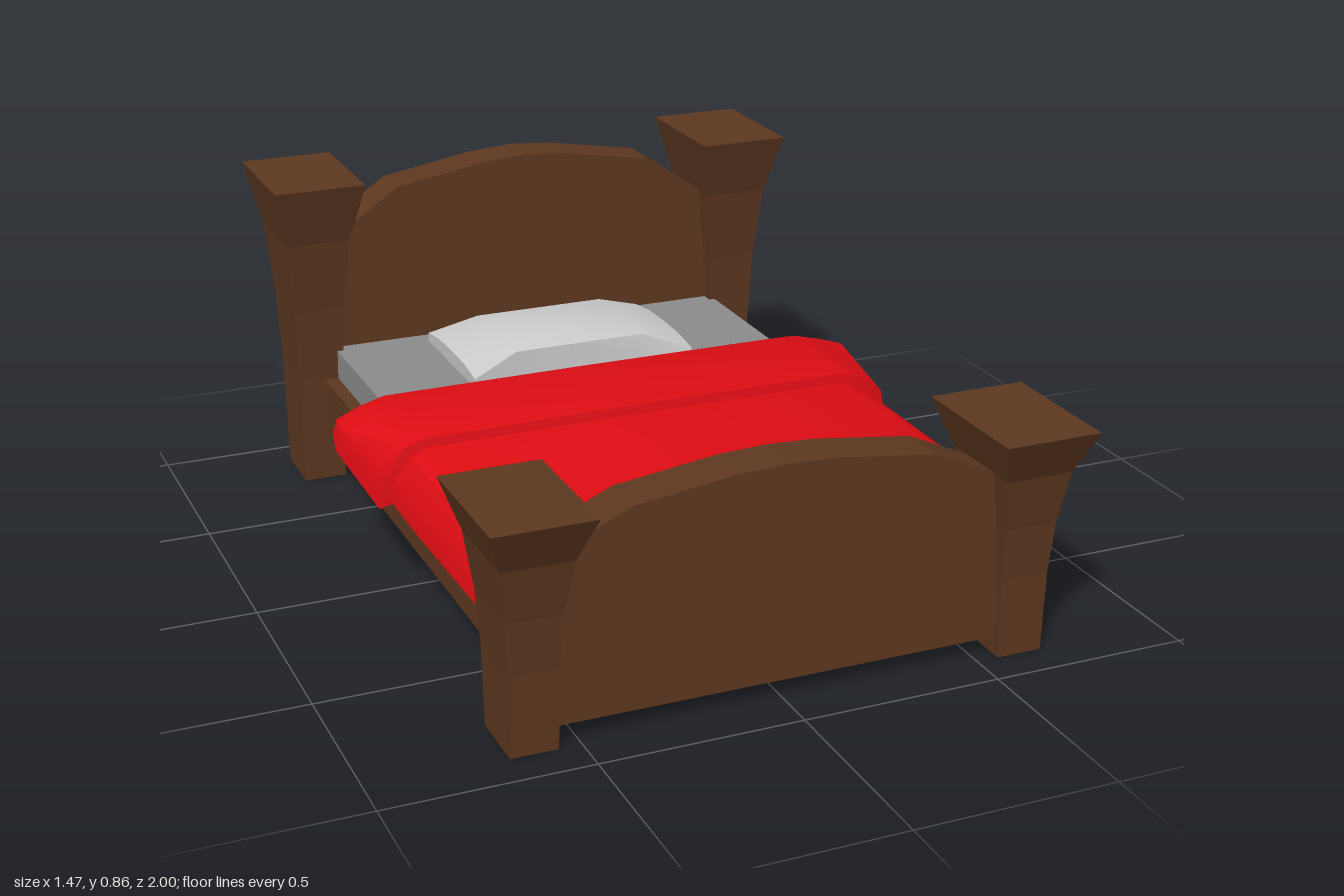
import * as THREE from 'three';
import { toCreasedNormals } from 'three/addons/utils/BufferGeometryUtils.js';

const wood = new THREE.MeshStandardMaterial({ color: 0x5e3820, flatShading: true });
const red = new THREE.MeshStandardMaterial({ color: 0xe00d14, side: THREE.DoubleSide });
const mattressGrey = new THREE.MeshStandardMaterial({ color: 0x8c8c8c });
const grey = new THREE.MeshStandardMaterial({ color: 0xcccccc });

// Skin a list of cross-sections (each a list of [x, y, z]); closed ones get end caps.
function loft(sections, closed) {
  const n = sections[0].length, index = [];
  for (let s = 0; s < sections.length - 1; s++) {
    for (let i = 0; i < (closed ? n : n - 1); i++) {
      const j = (i + 1) % n, a = s * n, b = a + n;
      index.push(a + i, a + j, b + j, a + i, b + j, b + i);
    }
  }
  if (closed) {
    const last = (sections.length - 1) * n;
    for (let i = 1; i < n - 1; i++) index.push(0, i + 1, i, last, last + i, last + i + 1);
  }
  const g = new THREE.BufferGeometry();
  g.setAttribute('position', new THREE.Float32BufferAttribute(sections.flat(2), 3));
  g.setIndex(index);
  return toCreasedNormals(g, 0.5);
}

function part(parent, name, geometry, material, x = 0, y = 0, z = 0) {
  const m = new THREE.Mesh(geometry, material);
  m.name = name;
  m.position.set(x, y, z);
  parent.add(m);
  return m;
}

function box(parent, name, material, w, y0, y1, z0, z1) {
  return part(parent, name, new THREE.BoxGeometry(w, y1 - y0, z1 - z0), material,
    0, (y0 + y1) / 2, (z0 + z1) / 2);
}

// Square-sided post flaring towards the top: [height share, half width, half depth]
function postGeometry(height) {
  const profile = [[0, 0.0575, 0.082], [0.35, 0.061, 0.086], [0.58, 0.069, 0.097],
    [0.81, 0.086, 0.122], [1, 0.1225, 0.175]];
  return loft(profile.map(([t, w, d]) =>
    [[w, t * height, d], [w, t * height, -d], [-w, t * height, -d], [-w, t * height, d]]), true);
}

// Arched end board from half of its top outline
function boardGeometry(arch) {
  const left = arch.slice(1).reverse().map(([x, y]) => [-x, y]);
  const outline = [[-0.56, 0.045], ...left, ...arch, [0.56, 0.045]];
  const shape = new THREE.Shape(outline.map(([x, y]) => new THREE.Vector2(x, y)));
  return new THREE.ExtrudeGeometry(shape, { depth: 0.12, bevelEnabled: false });
}

// One sheet running up the bed, curling at the head end and folding back over itself
function blanketGeometry() {
  // [z, top, half width, side hem height, extra drop on the right side]
  const rows = [
    [0.78, 0.398, 0.655, 0.26, 0], [0.25, 0.398, 0.665, 0.262, 0], [-0.15, 0.395, 0.665, 0.27, 0],
    [-0.23, 0.39, 0.67, 0.29, 0], [-0.27, 0.39, 0.69, 0.32, 0.02], [-0.287, 0.405, 0.71, 0.35, 0.03],
    [-0.22, 0.43, 0.722, 0.35, 0.05], [0.06, 0.42, 0.695, 0.3, 0.05], [0.065, 0.396, 0.665, 0.3, 0.04],
  ];
  return loft(rows.map(([z, top, w, hem, drop]) => {
    const side = (s, h) => [
      [s * w, h, z],
      [s * (w - 0.012), h + (top - h) * 0.45, z],
      [s * (0.61 + (w - 0.66) * 0.5), top - 0.02, z],
      [s * 0.57, top - 0.002, z],
    ];
    return [...side(-1, hem - drop), [0, top, z], ...side(1, hem).reverse()];
  }), false);
}

// Pillow: thick in the middle, pinched out to four flat corners
function pillowGeometry() {
  // [x, half depth, shoulder height, crown height]
  const stations = [[-0.31, 0.2, 0.025, 0.04], [-0.18, 0.16, 0.07, 0.085], [0, 0.16, 0.07, 0.09],
    [0.18, 0.16, 0.07, 0.085], [0.31, 0.2, 0.025, 0.04]];
  return loft(stations.map(([x, d, shoulder, crown]) => [
    [x, 0, d], [x, 0, -d], [x, shoulder, -d * 0.97], [x, crown * 0.95, -d * 0.5],
    [x, crown, 0], [x, crown * 0.95, d * 0.5], [x, shoulder, d * 0.97],
  ]), true);
}

export function createModel() {
  const bed = new THREE.Group();
  bed.name = 'bed';

  // Four corner posts, the head pair taller
  for (const [name, height, z] of [['foot', 0.58, 0.825], ['head', 0.855, -0.825]]) {
    for (const [side, s] of [['Left', 1], ['Right', -1]]) {
      part(bed, name + 'Post' + side, postGeometry(height), wood, s * 0.6125, 0, z);
    }
  }

  // Arched end boards
  part(bed, 'footboard', boardGeometry(
    [[0, 0.58], [0.12, 0.575], [0.37, 0.542], [0.53, 0.47], [0.56, 0.45]]), wood, 0, 0, 0.765);
  part(bed, 'headboard', boardGeometry(
    [[0, 0.855], [0.12, 0.846], [0.37, 0.803], [0.53, 0.695], [0.56, 0.665]]), wood, 0, 0, -0.888);

  // Base and bedding
  box(bed, 'bedFrame', wood, 1.204, 0.115, 0.29, -0.8, 0.8);
  box(bed, 'mattress', mattressGrey, 1.13, 0.28, 0.37, -0.775, 0.77);
  part(bed, 'pillow', pillowGeometry(), grey, 0, 0.37, -0.52);
  part(bed, 'blanket', blanketGeometry(), red);

  return bed;
}
